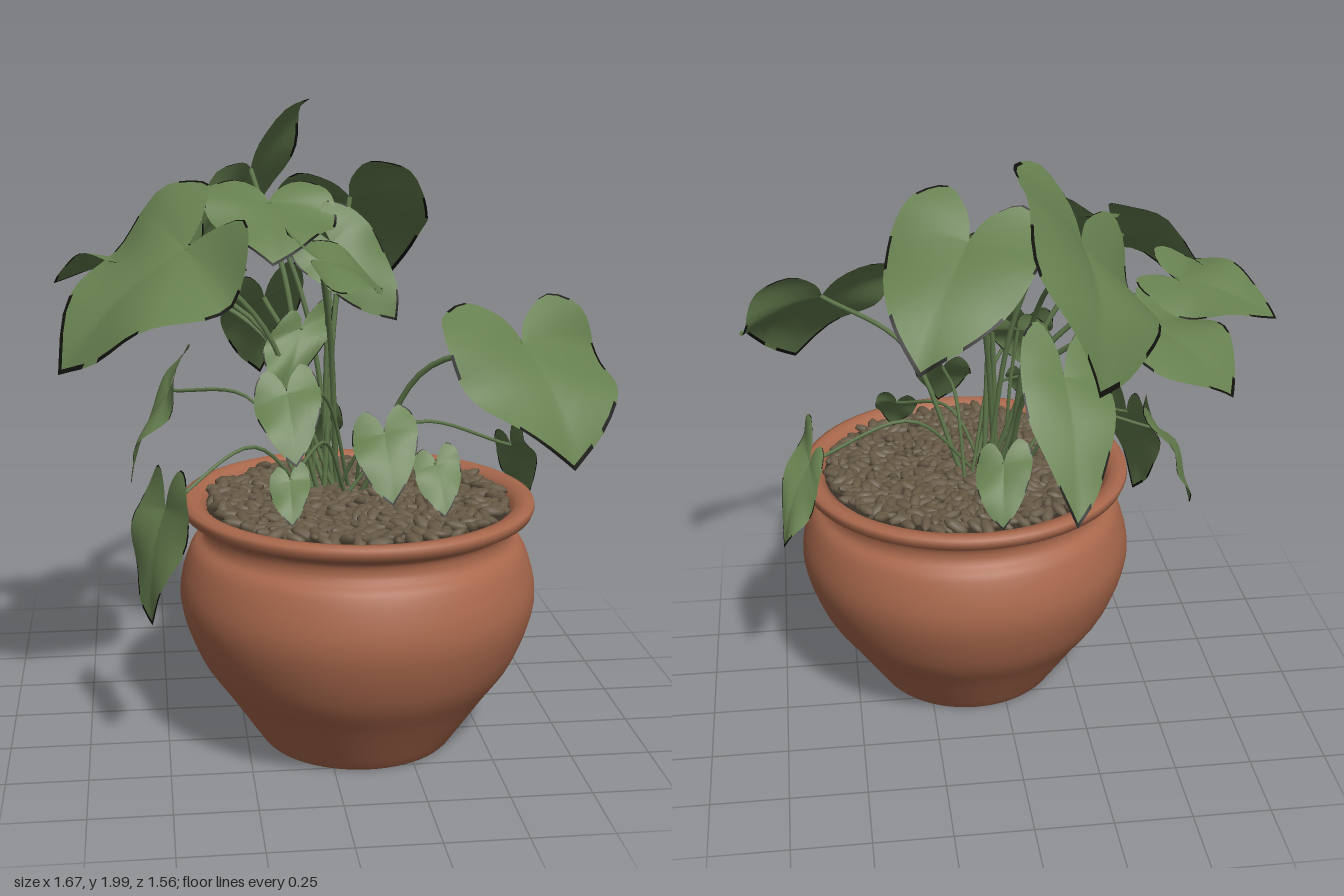
import * as THREE from 'three';
import { mergeGeometries } from 'three/addons/utils/BufferGeometryUtils.js';

const V = (x, y, z) => new THREE.Vector3(x, y, z);

const material = (name, color, side = THREE.FrontSide) => {
  const m = new THREE.MeshStandardMaterial({ color, side });
  m.name = name;
  return m;
};

const mesh = (name, geometry, mat) => {
  const m = new THREE.Mesh(geometry, mat);
  m.name = name;
  return m;
};

// Small seeded random generator
function seeded(seed) {
  return () => {
    seed = (seed * 16807) % 2147483647;
    return seed / 2147483647;
  };
}

// Heart-shaped blade outline, [forward, sideways] from sinus to tip and mirrored back
function heartOutline() {
  const half = new THREE.SplineCurve([[-0.02, 0], [-0.2, 0.07], [-0.36, 0.25], [-0.24, 0.43],
    [0, 0.5], [0.25, 0.48], [0.5, 0.39], [0.78, 0.22], [1, 0]]
    .map(([f, s]) => new THREE.Vector2(f, s))).getPoints(24);
  const other = half.slice(0, -1).reverse().map((p) => new THREE.Vector2(p.x, -p.y));
  return [...half, ...other];
}

// Blade spread from its stalk joint to its tip, "across" being its full width.
// Group 0 is the blade, group 1 the withered patches along its margin and tip.
function leafGeometry(joint, tip, across, phase) {
  const outline = heartOutline(), n = outline.length;
  const rings = [0, 0.17, 0.34, 0.5, 0.66, 0.82, 0.965, 1];
  const forward = tip.clone().sub(joint);
  const normal = forward.clone().cross(across).normalize();
  if (normal.y < 0) normal.negate();
  const length = forward.length(), width = across.length();
  const positions = [], blade = [], withered = [];
  rings.forEach((t) => outline.forEach((o) => {
    const f = o.x * t, s = o.y * t;
    const arch = 0.28 * length * Math.max(f, 0) * (1 - f);
    const crease = 0.25 * width * (Math.abs(s) * 0.5 - s * s * 1.3);
    const wave = 0.12 * width * Math.abs(s) * Math.sin(f * 7 + phase + Math.sign(s));
    const p = joint.clone().addScaledVector(forward, f).addScaledVector(across, s)
      .addScaledVector(normal, arch + crease + wave);
    positions.push(p.x, p.y, p.z);
  }));
  for (let r = 0; r < rings.length - 1; r++) {
    for (let i = 0; i < n - 1; i++) {
      const a = r * n + i, b = a + n;
      const nearTip = Math.abs(i + 0.5 - (n - 1) / 2) < 2;
      const patch = r === rings.length - 2 && (nearTip || Math.sin(i * 0.9 + phase) > 0.35);
      const faces = patch ? withered : blade;
      faces.push(a, b, b + 1);
      if (r > 0) faces.push(a, b + 1, a + 1);
    }
  }
  const g = new THREE.BufferGeometry();
  g.setAttribute('position', new THREE.Float32BufferAttribute(positions, 3));
  g.setIndex([...blade, ...withered]);
  g.addGroup(0, blade.length, 0);
  g.addGroup(blade.length, withered.length, 1);
  g.computeVertexNormals();
  return g;
}

// Arching stalk from the clump to the leaf joint
function stalkGeometry(root, joint, radius) {
  const reach = Math.hypot(joint.x - root.x, joint.z - root.z);
  const middle = root.clone().lerp(joint, 0.5);
  middle.y += 0.06 + 0.18 * reach;
  middle.x -= (joint.x - root.x) * 0.1;
  middle.z -= (joint.z - root.z) * 0.1;
  const curve = new THREE.CatmullRomCurve3([root, middle, joint]);
  return new THREE.TubeGeometry(curve, 16, radius, 6);
}

// Large leaves: joint, tip, across
const largeLeaves = () => [
  // high canopy
  [V(-0.18, 1.76, -0.34), V(-0.16, 1.465, -0.78), V(0.42, 0.4, -0.24)],
  [V(0.12, 1.69, -0.1), V(0.3, 1.39, -0.41), V(0.43, 0.06, 0.2)],
  [V(-0.42, 1.58, 0.24), V(-0.8, 1.24, 0.4), V(0.2, -0.18, 0.6)],
  [V(-0.02, 1.55, 0.33), V(0.19, 1.43, 0.12), V(0.13, -0.13, 0.3)],
  [V(0.04, 1.57, 0.08), V(0.24, 1.33, 0.13), V(0.2, 0.14, -0.12)],
  [V(-0.15, 1.69, 0.02), V(-0.16, 1.53, 0.28), V(0.42, -0.04, 0.04)],
  [V(-0.55, 1.51, -0.02), V(-0.83, 1.42, -0.16), V(-0.16, 0.08, 0.28)],
  [V(-0.42, 1.42, -0.14), V(-0.64, 1.27, -0.4), V(0.36, 0.03, -0.33)],
  // middle tier
  [V(-0.14, 1.33, -0.32), V(-0.13, 1, -0.66), V(0.28, 0.08, -0.05)],
  [V(0.56, 1.32, 0.48), V(0.66, 1, 0.74), V(0.53, -0.03, -0.26)],
  [V(-0.06, 1.31, 0.12), V(-0.13, 1.12, 0.22), V(0.22, 0.06, -0.1)],
  [V(-0.47, 1.06, -0.15), V(-0.6, 0.76, -0.1), V(0.06, 0.09, -0.36)],
  // hanging over the rim
  [V(-0.5, 0.84, 0.46), V(-0.545, 0.5, 0.52), V(0.14, 0.04, 0.28)],
  [V(0.63, 0.9, 0.07), V(0.725, 0.67, -0.07), V(0.05, 0.12, 0.22)],
];

// Small young leaf hanging from its joint towards a heading around y
function youngLeaf(joint, heading, size) {
  const sin = Math.sin(heading), cos = Math.cos(heading);
  const tip = joint.clone().add(V(0.6 * sin, -0.8, 0.6 * cos).multiplyScalar(size));
  return [joint, tip, V(cos, 0.2, -sin).multiplyScalar(0.85 * size)];
}

const youngLeaves = () => [
  youngLeaf(V(-0.14, 1.19, 0.5), 0.1, 0.23),
  youngLeaf(V(0.155, 1.05, 0.45), 0.05, 0.23),
  youngLeaf(V(0.32, 0.94, 0.42), 0.1, 0.17),
  youngLeaf(V(-0.14, 0.95, 0.58), 0, 0.14),
  youngLeaf(V(0.02, 0.97, -0.16), 3, 0.21),
];

// Pot turned from a closed profile: foot, belly, neck, flared lip and inner wall
function buildPot(mat) {
  const belly = new THREE.SplineCurve([[0.31, 0.01], [0.415, 0.165], [0.505, 0.3], [0.561, 0.48],
    [0.53, 0.63], [0.487, 0.68], [0.49, 0.73], [0.545, 0.758]].map(([r, y]) => new THREE.Vector2(r, y)));
  const lip = [[0.553, 0.778], [0.55, 0.793], [0.53, 0.8], [0.5, 0.795], [0.475, 0.77], [0.46, 0.72]];
  const toPoint = ([r, y]) => new THREE.Vector2(r, y);
  const profile = [...[[0, 0.03], [0.25, 0.03], [0.275, 0], [0.3, 0]].map(toPoint),
    ...belly.getPoints(28), ...lip.map(toPoint)];
  return mesh('pot', new THREE.LatheGeometry(profile, 64), mat);
}

// Seed-shaped pebbles scattered evenly in a sunflower spiral
function buildPebbles(mat) {
  const random = seeded(77), count = 600, parts = [];
  const base = new THREE.SphereGeometry(1, 7, 5);
  for (let i = 0; i < count; i++) {
    const radius = 0.46 * Math.sqrt((i + 0.5) / count), angle = i * 2.39996;
    const rotation = new THREE.Quaternion().setFromEuler(
      new THREE.Euler((random() - 0.5) * 0.8, random() * Math.PI * 2, (random() - 0.5) * 0.8));
    const size = 0.8 + random() * 0.4;
    const matrix = new THREE.Matrix4().compose(
      V(Math.cos(angle) * radius, 0.778 + random() * 0.014, Math.sin(angle) * radius),
      rotation, V(0.04, 0.016, 0.019).multiplyScalar(size));
    parts.push(base.clone().applyMatrix4(matrix));
  }
  return mesh('pebbles', mergeGeometries(parts), mat);
}

export function createModel() {
  const model = new THREE.Group();
  model.name = 'pottedPlant';
  const terracotta = material('terracotta', 0xa9684c, THREE.DoubleSide);
  const pebble = material('pebble', 0x665945);
  const earth = material('earth', 0x3a3128);
  const leafGreen = material('leafGreen', 0x667f4f, THREE.DoubleSide);
  const witheredEdge = material('witheredEdge', 0x10100b, THREE.DoubleSide);
  const stalkGreen = material('stalkGreen', 0x5c7448);

  // Pot with its filling
  const pot = new THREE.Group();
  pot.name = 'filledPot';
  pot.position.set(0.107, 0, 0.222);
  const soil = mesh('soil', new THREE.CircleGeometry(0.475, 48), earth);
  soil.rotation.x = -Math.PI / 2;
  soil.position.y = 0.775;
  pot.add(buildPot(terracotta), soil, buildPebbles(pebble));
  model.add(pot);

  // Leaves on stalks that rise from one clump
  const random = seeded(12);
  const plant = new THREE.Group();
  plant.name = 'plant';
  [...largeLeaves(), ...youngLeaves()].forEach(([joint, tip, across], i) => {
    const root = V(0.05 + (random() - 0.5) * 0.12, 0.77, 0.14 + (random() - 0.5) * 0.12);
    root.x += joint.x * 0.1;
    plant.add(mesh('stalk', stalkGeometry(root, joint, i < 10 ? 0.009 : 0.006), stalkGreen));
    plant.add(mesh('leaf', leafGeometry(joint, tip, across, i * 1.7), [leafGreen, witheredEdge]));
  });
  model.add(plant);
  return model;
}
